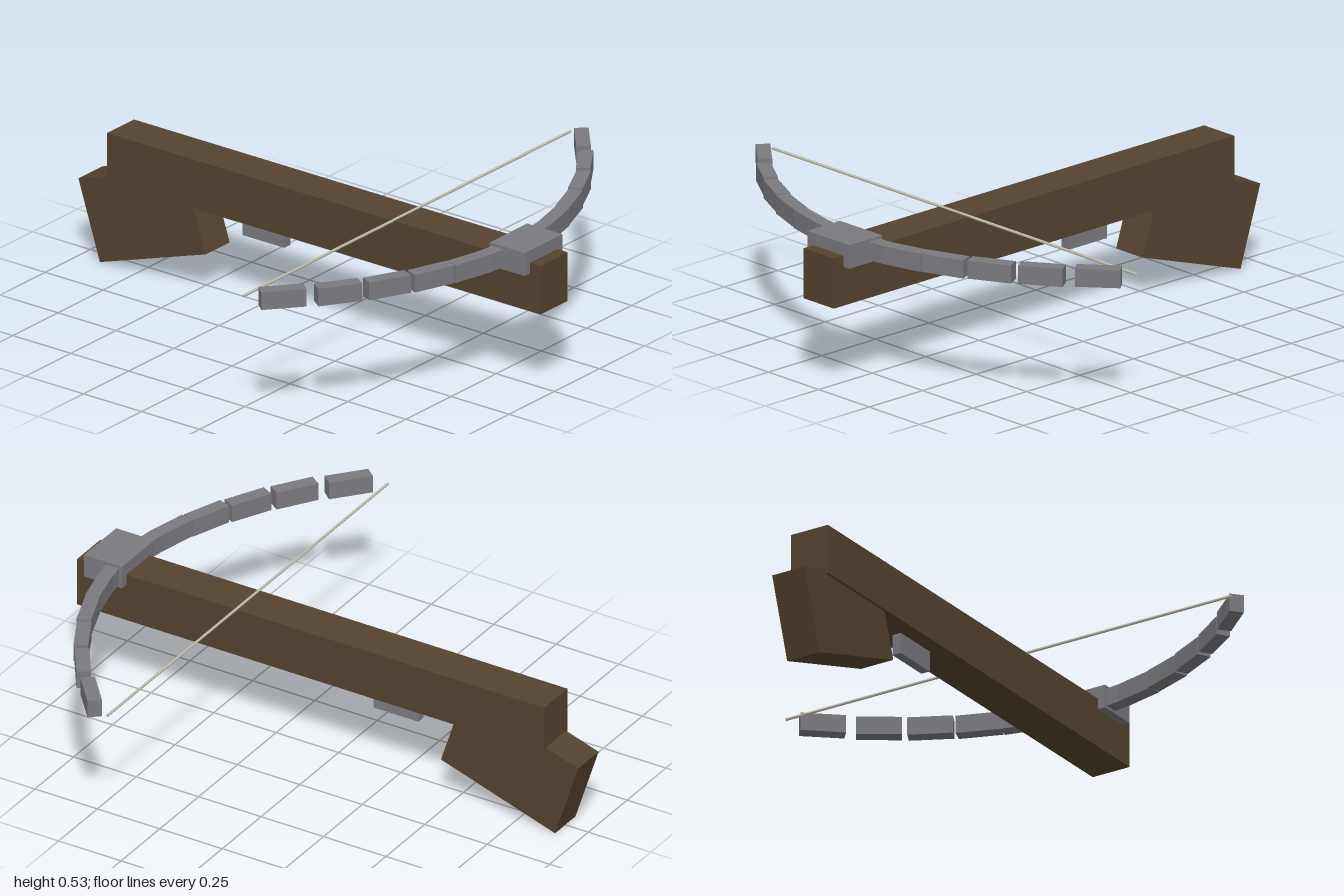
import * as THREE from 'three';

export function createModel() {
  const model = new THREE.Group();
  model.name = 'crossbow';

  const material = (name, color) => {
    const m = new THREE.MeshStandardMaterial({ color });
    m.name = name;
    return m;
  };
  const wood = material('dark wood', 0x54432f);
  const metal = material('grey metal', 0x7a7a7f);
  const cord = material('pale cord', 0xc4c0ae);

  const box = (name, mat, size, position, parent = model) => {
    const mesh = new THREE.Mesh(new THREE.BoxGeometry(...size), mat);
    mesh.name = name;
    mesh.position.set(...position);
    parent.add(mesh);
    return mesh;
  };

  // Stock and tilted shoulder butt
  box('stock', wood, [0.15, 0.18, 1.87], [0, 0.4, 0.065]);
  const butt = box('butt', wood, [0.132, 0.3, 0.48], [0, 0.217, -0.7255]);
  butt.rotation.x = -THREE.MathUtils.degToRad(18);

  // Trigger and the block holding the bow
  box('trigger', metal, [0.034, 0.08, 0.18], [0, 0.275, -0.24]);
  box('bowMount', metal, [0.208, 0.085, 0.152], [0, 0.4925, 0.879]);

  // Bow limbs: separate blocks, turning further back towards the tips [x, z]
  const centres = [[0.08, 0.842], [0.232, 0.815], [0.382, 0.766], [0.533, 0.694], [0.682, 0.6], [0.83, 0.475]];
  for (const side of [1, -1]) {
    const limb = new THREE.Group();
    limb.name = side > 0 ? 'leftLimb' : 'rightLimb';
    model.add(limb);
    centres.forEach(([x, z], i) => {
      const block = box('limbBlock', metal, [0.156, 0.065, 0.05], [side * x, 0.4925, z], limb);
      block.rotation.y = side * THREE.MathUtils.degToRad(6.8 * (i + 1));
    });
  }

  // Bowstring
  const string = new THREE.Mesh(new THREE.CylinderGeometry(0.005, 0.005, 1.81, 6), cord);
  string.name = 'bowstring';
  string.rotation.z = Math.PI / 2;
  string.position.set(0, 0.491, 0.364);
  model.add(string);

  return model;
}
